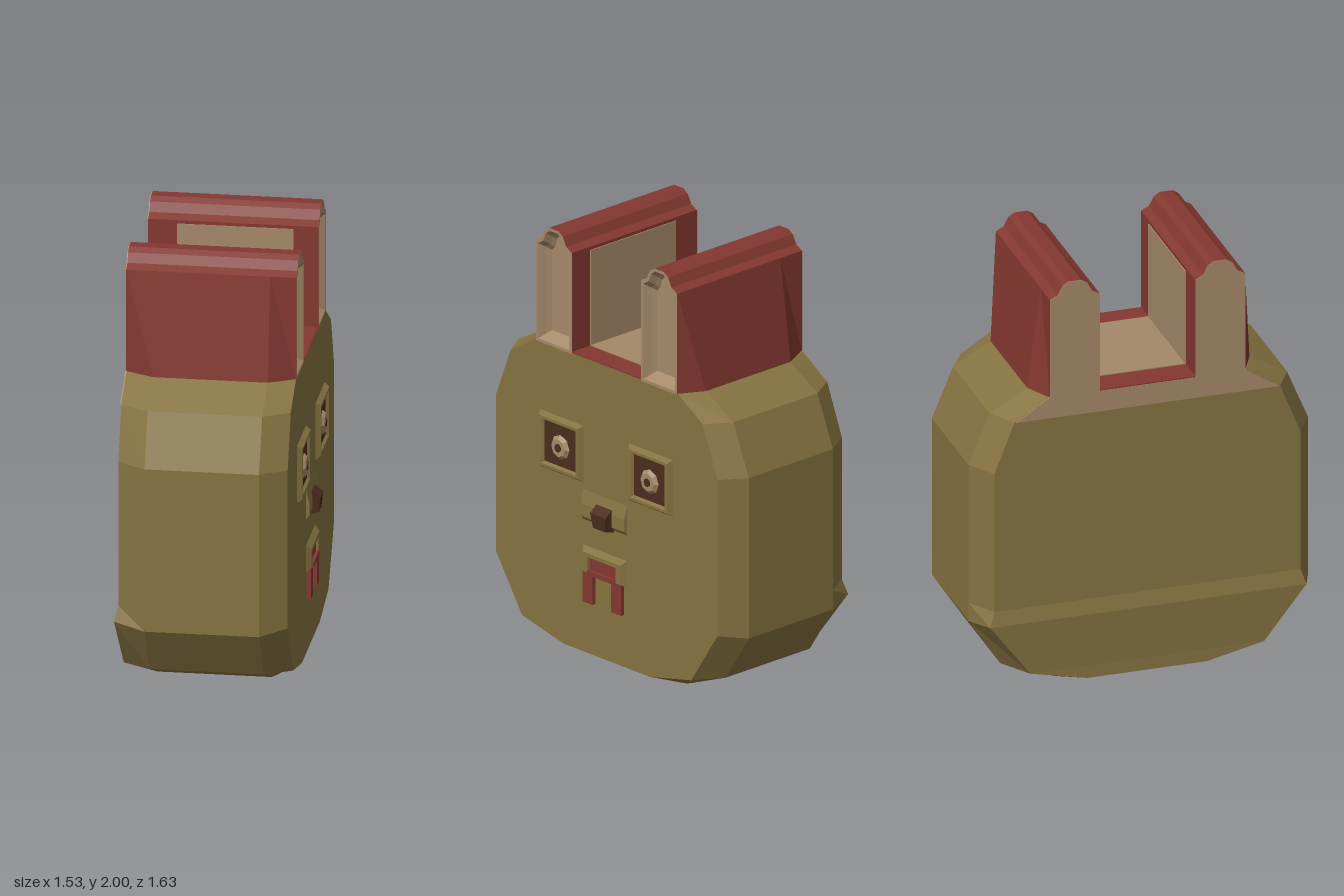
import * as THREE from 'three';

const mat = (name, color) => {
  const m = new THREE.MeshStandardMaterial({ color });
  m.name = name;
  return m;
};

// Skin a list of rings (back to front, each counter-clockwise from +z).
// Each ring runs up its right half, then down its left half, so caps are level strips.
function loft(rings, backCap = true, frontCap = true) {
  const pos = [];
  const quad = (a, b, c, d) => [a, b, c, a, c, d].forEach((p) => pos.push(...p));
  const n = rings[0].length;
  for (let i = 0; i < rings.length - 1; i++) {
    const r = rings[i], s = rings[i + 1];
    for (let j = 0; j < n; j++) {
      const k = (j + 1) % n;
      quad(r[j], r[k], s[k], s[j]);
    }
  }
  const cap = (r, front) => {
    for (let j = 0; j < n / 2 - 1; j++) {
      const q = [r[n - 1 - j], r[j], r[j + 1], r[n - 2 - j]];
      quad(...(front ? q : q.reverse()));
    }
  };
  if (backCap) cap(rings[0], false);
  if (frontCap) cap(rings[rings.length - 1], true);
  const g = new THREE.BufferGeometry();
  g.setAttribute('position', new THREE.Float32BufferAttribute(pos, 3));
  g.computeVertexNormals();
  return g;
}

const rect = (cx, cy, hw, hh, z) => [
  [cx + hw, cy - hh, z], [cx + hw, cy + hh, z], [cx - hw, cy + hh, z], [cx - hw, cy - hh, z],
];
const mirrorRing = (r) => r.map(([x, y, z]) => [-x, y, z]).reverse();
const symmetric = (half) => [...half, ...mirrorRing(half)];

export function createModel() {
  const olive = mat('olive', 0x867341);
  const red = mat('brick red', 0x833830);
  const tan = mat('tan', 0xa58969);
  const brown = mat('dark brown', 0x4c2c1e);

  const model = new THREE.Group();
  const head = new THREE.Group();
  head.name = 'head';
  head.rotation.y = 0.884;
  model.add(head);
  const add = (name, geo, material) => {
    const m = new THREE.Mesh(geo, material);
    m.name = name;
    head.add(m);
    return m;
  };
  const box = (name, material, w, h, d, x, y, z) =>
    add(name, new THREE.BoxGeometry(w, h, d), material).position.set(x, y, z);

  // Rounded block, bevelled front and back, with a slight ridge low on the back
  const middle = [[0.4, 0], [0.65, 0.1], [0.8, 0.33], [0.8, 0.42], [0.8, 1.1], [0.7, 1.34], [0.525, 1.44]];
  const face = [[0.28, 0.03], [0.55, 0.09], [0.72, 0.35], [0.72, 0.42], [0.72, 1.1], [0.625, 1.34], [0.465, 1.44]];
  const ring = (half, z) => symmetric(half.map(([x, y]) => [x, y, z]));
  const back = symmetric(face.map(([x, y], i) => {
    const bulge = i === 2 ? 0.016 : 0;
    return [x + bulge * 1.5, y, -0.38 - bulge];
  }));
  add('headBlock', loft([back, ring(middle, -0.25), ring(middle, 0.267), ring(face, 0.385)]), olive);

  // Tan strip along the top of the back
  const strip = (z) => [[0.62, 1.34, z], [0.462, 1.441, z], [-0.462, 1.441, z], [-0.62, 1.34, z]];
  add('backStrip', loft([strip(-0.386), strip(-0.379)]), tan);

  // Deck between the ears
  box('deck', red, 0.46, 0.006, 0.768, 0, 1.443, 0);
  box('deckPanel', tan, 0.45, 0.006, 0.525, 0, 1.447, 0.012);

  // Ears: a ridged bar running the full depth, flared at the foot
  const C = 0.342;
  const earRing = (z, foot, inset = 0) => {
    const k = 1 - inset / 0.117;
    const half = [[0.117, 1.92], [0.08, 1.94], [0.058, 1.982], [0.03, 2]];
    const upper = half.map(([x, y]) => [C + x * k, y - inset, z]);
    const left = half.map(([x, y]) => [C - x * k, y - inset, z]).reverse();
    const y0 = 1.435 + inset;
    return [[C + 0.117 * k + foot, y0, z], ...upper, ...left, [C - 0.117 * k, y0, z]];
  };
  for (const side of [1, -1]) {
    const name = side > 0 ? 'left' : 'right';
    const m = (r) => (side > 0 ? r : mirrorRing(r));
    const bar = [[-0.382, 0], [-0.25, 0.065], [0.267, 0.065], [0.386, 0]].map(([z, f]) => m(earRing(z, f)));
    add(name + 'Ear', loft(bar, false, false), red);
    const front = [[0.386, 0], [0.386, 0.014], [0.355, 0.034], [0.335, 0.05]];
    add(name + 'EarFront', loft(front.map(([z, i]) => m(earRing(z, 0, i))), false, true), tan);
    add(name + 'EarBack', loft([m(earRing(-0.386, 0)), m(earRing(-0.382, 0))]), tan);
    box(name + 'EarInnerPanel', tan, 0.008, 0.46, 0.525, side * 0.224, 1.675, 0.012);

    // Eye: bevelled frame, dark socket, ringed pupil
    const x = side * 0.29, y = 0.977;
    add(name + 'EyeFrame', loft([
      rect(x, y, 0.142, 0.137, 0.383), rect(x, y, 0.126, 0.12, 0.408),
      rect(x, y, 0.112, 0.107, 0.408), rect(x, y, 0.1, 0.095, 0.392),
    ], false, false), olive);
    add(name + 'EyeSocket', loft([rect(x, y, 0.112, 0.107, 0.385), rect(x, y, 0.11, 0.105, 0.395)]), brown);
    const iris = add(name + 'Iris', new THREE.CylinderGeometry(0.043, 0.06, 0.016, 8).toNonIndexed(), tan);
    iris.geometry.computeVertexNormals();
    iris.geometry.rotateX(Math.PI / 2);
    iris.position.set(x, y - 0.005, 0.402);
    const pupil = add(name + 'Pupil', new THREE.CylinderGeometry(0.02, 0.02, 0.006, 8), brown);
    pupil.geometry.rotateX(Math.PI / 2);
    pupil.position.set(x, y - 0.005, 0.411);

    // Hanging ends of the mouth
    box(name + 'MouthEnd', red, 0.065, 0.15, 0.03, side * 0.093 - 0.012, 0.355, 0.39);
  }

  // Muzzle bump with a wedge nose
  add('muzzle', loft([rect(-0.01, 0.745, 0.145, 0.085, 0.38), rect(-0.01, 0.715, 0.14, 0.03, 0.4)]), olive);
  add('nose', loft([
    rect(-0.005, 0.715, 0.052, 0.058, 0.385),
    [[0.033, 0.665, 0.428], [0.045, 0.735, 0.435], [-0.055, 0.735, 0.435], [-0.043, 0.665, 0.428]],
  ]), brown);

  // Mouth: bevelled surround with a recessed bar
  add('mouthFrame', loft([
    rect(-0.01, 0.48, 0.145, 0.065, 0.383), rect(-0.01, 0.475, 0.122, 0.046, 0.408),
    rect(-0.01, 0.468, 0.092, 0.034, 0.408), rect(-0.01, 0.464, 0.088, 0.03, 0.39),
  ], false, false), olive);
  box('mouthBar', red, 0.18, 0.064, 0.014, -0.01, 0.464, 0.39);
  box('mouthLip', red, 0.18, 0.022, 0.03, -0.01, 0.43, 0.397);

  return model;
}
